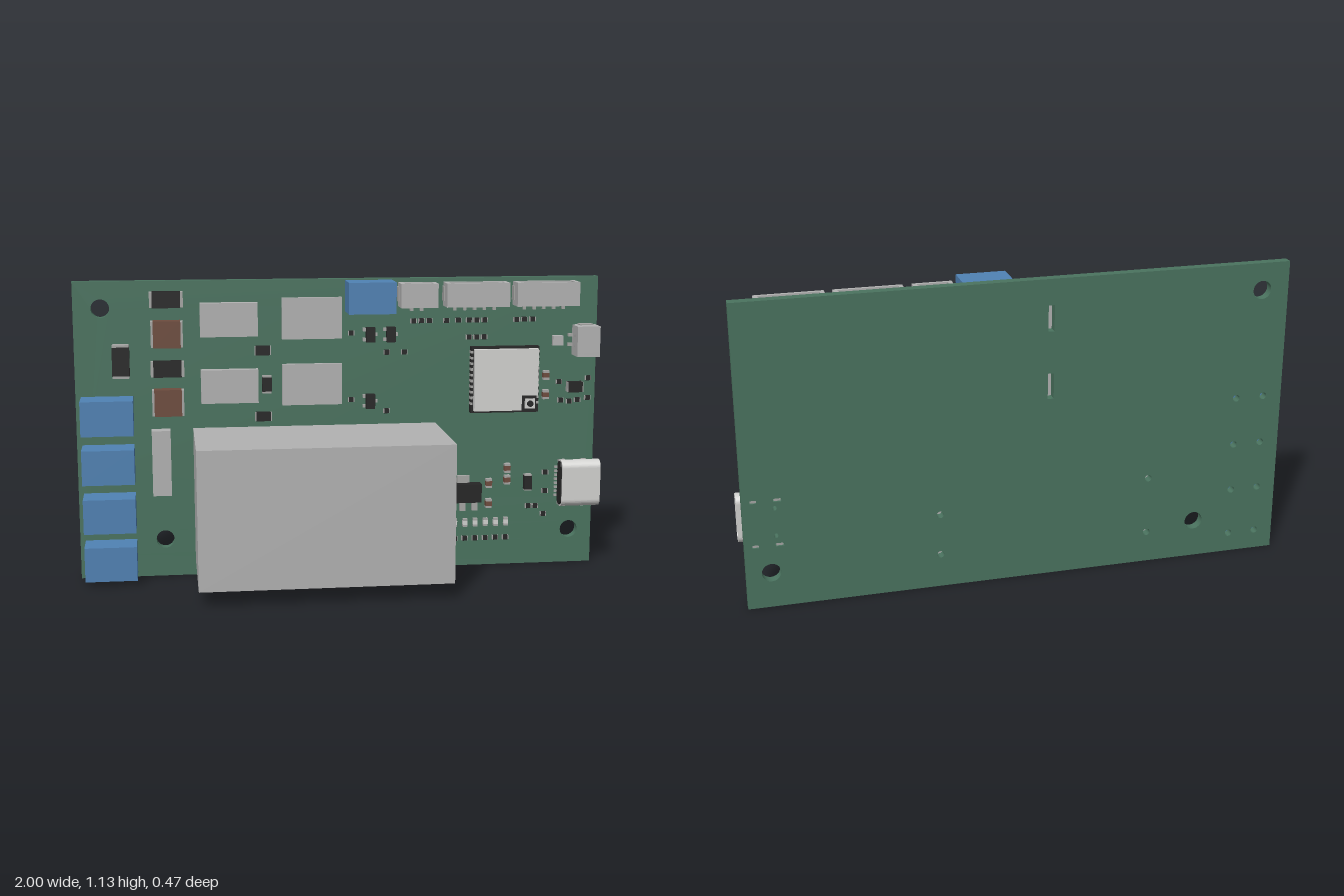
import * as THREE from 'three';

const mat = (name, color) => new THREE.MeshStandardMaterial({ name, color });
const FACE = -0.2; // front face of the board
const BACK = -0.235;

export function createModel() {
  const root = new THREE.Group();
  root.name = 'circuitBoard';
  const green = mat('boardGreen', 0x4a735f), blue = mat('terminalBlue', 0x5082b4);
  const grey = mat('blockGrey', 0xb2b2b2), pale = mat('shieldPale', 0xd2d2d0);
  const black = mat('chipBlack', 0x262626), brown = mat('capacitorBrown', 0x6e4c3e);
  const metal = mat('contactMetal', 0xa6a6a4);

  // box given by its front rectangle and depth range
  const box = (name, m, x0, x1, y0, y1, z1, z0 = FACE, parent = root) => {
    const mesh = new THREE.Mesh(new THREE.BoxGeometry(x1 - x0, y1 - y0, z1 - z0), m);
    mesh.position.set((x0 + x1) / 2, (y0 + y1) / 2, (z0 + z1) / 2);
    mesh.name = name;
    parent.add(mesh);
    return mesh;
  };

  // board with mounting holes, pin holes and isolation slots
  const outline = new THREE.Shape([[-1, 0], [0.985, 0], [0.985, 1.127], [-1, 1.127]].map(p => new THREE.Vector2(...p)));
  const hole = (x, y, r) => outline.holes.push(new THREE.Path().absarc(x, y, r, 0, Math.PI * 2, true));
  const slot = (x, y, w, h) => outline.holes.push(new THREE.Path([[-1, -1], [-1, 1], [1, 1], [1, -1]]
    .map(([a, b]) => new THREE.Vector2(x + a * w / 2, y + b * h / 2))));
  for (const [x, y] of [[-0.9, 1.027], [-0.68, 0.144], [0.896, 0.134]]) hole(x, y, 0.034);
  for (const y of [0.62, 0.437, 0.254, 0.074]) for (const x of [-0.93, -0.825]) hole(x, y, 0.013);
  for (const [x, y] of [[0.289, 0.284], [0.289, 0.127], [-0.494, 0.338], [-0.494, 0.119]]) hole(x, y, 0.013);
  for (const y of [0.24, 0.41]) {
    slot(0.945, y, 0.022, 0.012);
    slot(0.861, y, 0.03, 0.012);
  }
  for (const y of [0.275, 0.38]) hole(0.872, y, 0.008);
  for (const y of [0.985, 0.735]) slot(-0.116, y, 0.022, 0.095);
  const board = new THREE.Mesh(new THREE.ExtrudeGeometry(outline,
    { depth: FACE - BACK, bevelEnabled: false, curveSegments: 20 }), green);
  board.position.z = BACK;
  board.name = 'board';
  root.add(board);

  // large blocks
  box('powerSupply', grey, -0.567, 0.358, 0.059, 0.572, 0.235);
  box('fuse', grey, -0.722, -0.652, 0.324, 0.572, -0.15);
  for (const y of [0.018, 0.201, 0.386, 0.569]) box('screwTerminal', blue, -0.98, -0.787, y, y + 0.13, -0.08);
  box('topTerminal', blue, 0.01, 0.187, 1.005, 1.122, -0.08);
  for (const y of [0.982, 0.732]) {
    box('driverChip', grey, -0.535, -0.321, y - 0.063, y + 0.063, -0.165);
    box('isolatorChip', grey, -0.23, -0.004, y - 0.078, y + 0.078, -0.183);
  }

  // two-ended part: body between metal caps; tall parts have caps above and below
  const chip = (name, m, x, y, w, h, d, cap = 0.18) => {
    const g = new THREE.Group();
    g.name = name;
    root.add(g);
    const tall = h > w, len = Math.max(w, h) / 2, half = Math.min(w, h) / 2, c = len * cap;
    const part = (n, mm, a, b, hw, z) => tall
      ? box(n, mm, x - hw, x + hw, y + a, y + b, z, FACE, g)
      : box(n, mm, x + a, x + b, y - hw, y + hw, z, FACE, g);
    part('body', m, c - len, len - c, half, FACE + d);
    part('endCap', metal, -len, c - len, half * 0.96, FACE + d * 0.97);
    part('endCap', metal, len - c, len, half * 0.96, FACE + d * 0.97);
  };
  for (const y of [1.059, 0.801]) chip('diode', black, -0.658, y, 0.124, 0.06, 0.035, 0.16);
  for (const y of [0.932, 0.676]) chip('capacitor', brown, -0.658, y, 0.118, 0.1, 0.05, 0.14);
  chip('diode', black, -0.829, 0.832, 0.064, 0.125, 0.035, 0.14);
  for (const y of [0.863, 0.612]) chip('resistor', black, -0.302, y, 0.062, 0.035, 0.015, 0.12);
  chip('resistor', black, -0.288, 0.735, 0.036, 0.068, 0.018, 0.2);
  chip('lampDiode', black, 0.724, 0.33, 0.03, 0.064, 0.025, 0.16);
  chip('buttonChip', black, 0.901, 0.703, 0.062, 0.04, 0.03, 0.1);

  // small three-legged transistors
  for (const [x, y] of [[0.104, 0.917], [0.182, 0.917], [0.104, 0.663]]) {
    box('transistor', black, x - 0.017, x + 0.017, y - 0.028, y + 0.028, -0.168, -0.195);
    for (const [dx, dy] of [[-0.02, 0.019], [-0.02, -0.019], [0.02, 0]])
      box('transistorLeg', metal, x + dx - 0.008, x + dx + 0.008, y + dy - 0.006, y + dy + 0.006, -0.187);
  }

  // tiny resistors and capacitors
  const tiny = (list, m) => list.forEach(([x, y]) => chip('tinyPart', m, x, y, 0.024, 0.018, 0.011, 0.25));
  tiny([[0.032, 0.923], [0.032, 0.669], [0.168, 0.848], [0.235, 0.848], [0.168, 0.623]], black);
  tiny([0.27, 0.3, 0.33, 0.396, 0.442, 0.484, 0.513, 0.543, 0.668, 0.698, 0.73].map(x => [x, 0.966]), black);
  tiny([0.484, 0.513, 0.543].map(x => [x, 0.901]), black);
  tiny([[0.84, 0.722], [0.955, 0.658], [0.848, 0.65], [0.882, 0.645], [0.915, 0.65], [0.955, 0.735], [0.795, 0.366],
    [0.73, 0.233], [0.757, 0.233], [0.795, 0.292], [0.79, 0.2]], black);
  for (const [x, y] of [[0.57, 0.33], [0.57, 0.25], [0.642, 0.388], [0.642, 0.342], [0.787, 0.75], [0.787, 0.675]])
    chip('smallCapacitor', brown, x, y, 0.024, 0.036, 0.022, 0.5);
  for (let i = 0; i < 7; i++) {
    const x = 0.398 + i * 0.0405;
    chip('indicator', pale, x, 0.174, 0.018, 0.032, 0.015, 0.5);
    chip('indicatorResistor', black, x, 0.11, 0.024, 0.018, 0.011, 0.25);
  }

  // voltage regulator
  box('regulator', black, 0.404, 0.535, 0.262, 0.334, -0.15, -0.195);
  box('regulatorTab', metal, 0.446, 0.494, 0.33, 0.362, -0.185);
  for (const x of [0.42, 0.468, 0.516]) box('regulatorLeg', metal, x - 0.011, x + 0.011, 0.222, 0.264, -0.185);

  // radio module: base, castellations, notched lid and aerial socket
  box('moduleBase', black, 0.49, 0.755, 0.61, 0.865, -0.172);
  for (let i = 0; i < 10; i++) for (const x of [0.489, 0.747])
    box('modulePad', metal, x, x + 0.009, 0.642 + i * 0.022, 0.652 + i * 0.022, -0.171);
  const lidShape = new THREE.Shape([[0.5, 0.62], [0.685, 0.62], [0.685, 0.678], [0.748, 0.678], [0.748, 0.857], [0.5, 0.857]]
    .map(p => new THREE.Vector2(...p)));
  const lid = new THREE.Mesh(new THREE.ExtrudeGeometry(lidShape, { depth: 0.022, bevelEnabled: false }), pale);
  lid.position.z = -0.172;
  lid.name = 'moduleLid';
  root.add(lid);
  box('aerialSocket', pale, 0.702, 0.74, 0.625, 0.663, -0.163, -0.172);
  const ring = new THREE.Mesh(new THREE.CylinderGeometry(0.012, 0.012, 0.012, 16), black);
  ring.rotation.x = Math.PI / 2;
  ring.position.set(0.721, 0.644, -0.163);
  ring.name = 'aerialContact';
  root.add(ring);

  // open-mouthed plug socket, mouth towards local +y
  const socket = (x, y, w, h, pins, turn = 0) => {
    const g = new THREE.Group();
    g.name = 'plugSocket';
    g.position.set(x, y, 0);
    g.rotation.z = turn;
    root.add(g);
    const a = w / 2, b = h / 2, top = -0.118;
    box('rearWall', grey, -a, a, -b, -b + 0.025, top, FACE, g);
    box('frontWall', grey, -a, a, -b, b, top, top - 0.012, g);
    box('floor', grey, -a, a, -b, b, -0.186, -0.199, g);
    for (const s of [-1, 1]) {
      box('sideWall', grey, s * (a - 0.008) - 0.008, s * (a - 0.008) + 0.008, -b, b, top, FACE, g);
      box('anchor', metal, s * (a - 0.006) - 0.01, s * (a - 0.006) + 0.01, -b + 0.02, b - 0.015, -0.165, FACE, g);
    }
    for (let i = 0; i < pins; i++) {
      const px = (i - (pins - 1) / 2) * 0.038;
      box('pin', metal, px - 0.005, px + 0.005, -b, b - 0.015, -0.152, -0.163, g);
      box('pinFoot', metal, px - 0.006, px + 0.006, -b - 0.018, -b, -0.188, FACE, g);
    }
  };
  socket(0.281, 1.067, 0.14, 0.09, 2);
  socket(0.504, 1.067, 0.24, 0.09, 5);
  socket(0.773, 1.067, 0.24, 0.09, 5);
  socket(0.933, 0.885, 0.116, 0.088, 2, -Math.PI / 2);
  box('testPad', grey, 0.81, 0.85, 0.864, 0.902, -0.18);

  // charging port: rounded shell open to the side
  const capsule = (w, h, r, C) => {
    const s = new C(), x = w / 2 - r, y = h / 2 - r;
    s.absarc(x, y, r, 0, Math.PI / 2).absarc(-x, y, r, Math.PI / 2, Math.PI);
    s.absarc(-x, -y, r, Math.PI, Math.PI * 1.5).absarc(x, -y, r, Math.PI * 1.5, Math.PI * 2);
    s.closePath();
    return s;
  };
  const along = (name, m, shape, x0, x1) => {
    const mesh = new THREE.Mesh(new THREE.ExtrudeGeometry(shape, { depth: x1 - x0, bevelEnabled: false, curveSegments: 8 }), m);
    mesh.rotation.y = Math.PI / 2;
    mesh.position.set(x0, 0.328, -0.166);
    mesh.name = name;
    root.add(mesh);
  };
  const shell = capsule(0.063, 0.182, 0.029, THREE.Shape);
  shell.holes.push(capsule(0.051, 0.17, 0.024, THREE.Path));
  along('portShell', pale, shell, 0.848, 1);
  along('portCore', black, capsule(0.051, 0.17, 0.024, THREE.Shape), 0.843, 0.985);
  along('portTongue', black, capsule(0.014, 0.12, 0.004, THREE.Shape), 0.98, 0.997);
  for (const y of [0.24, 0.41]) for (const x of [0.861, 0.945])
    box('portLeg', metal, x - 0.012, x + 0.012, y - 0.006, y + 0.006, -0.17, -0.228);
  for (let i = 0; i < 8; i++)
    box('portPin', metal, 0.832, 0.85, 0.27 + i * 0.016, 0.278 + i * 0.016, -0.19);

  return root;
}
